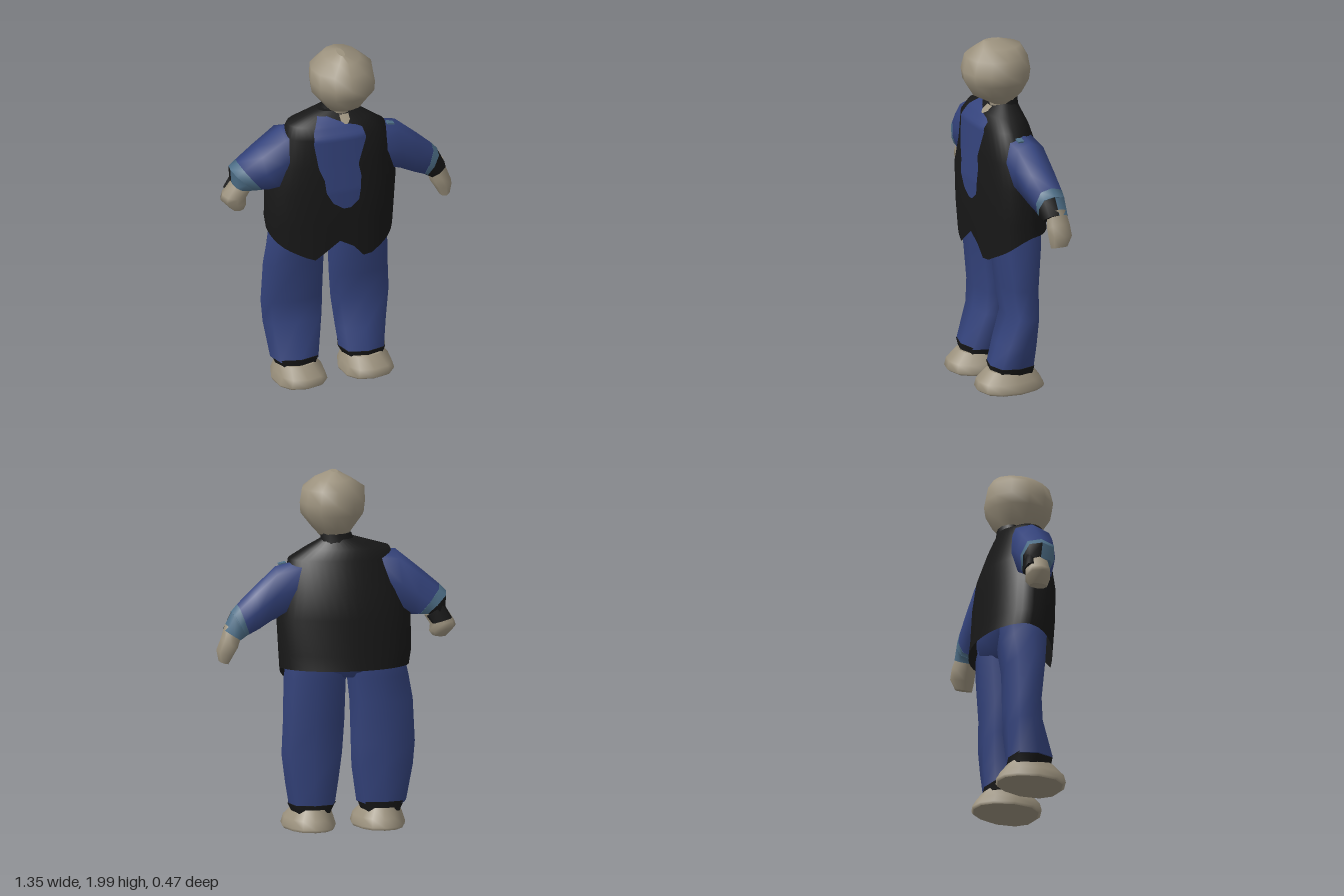
import * as THREE from 'three';

const mat = (name, color, side = THREE.FrontSide) => {
  const m = new THREE.MeshStandardMaterial({ color, side });
  m.name = name;
  return m;
};

// Rounded cross-section spanning (ax,ay)-(bx,by) across and z0-z1 in depth
function ring([ax, ay, bx, by, z0, z1], n, power, backPower = power) {
  const pts = [];
  for (let i = 0; i < n; i++) {
    const t = (i / n) * Math.PI * 2;
    const p = t > Math.PI ? backPower : power;
    const soft = (v) => Math.sign(v) * Math.pow(Math.abs(v), 2 / p);
    const s = soft(Math.cos(t)) / 2;
    pts.push(new THREE.Vector3(
      (ax + bx) / 2 + (bx - ax) * s,
      (ay + by) / 2 + (by - ay) * s,
      (z0 + z1) / 2 + ((z1 - z0) / 2) * soft(Math.sin(t))));
  }
  return pts;
}

const middle = (pts) => pts.reduce((s, p) => s.add(p), new THREE.Vector3()).divideScalar(pts.length);

// Smooth skin through a series of cross-sections, with crisp end caps
function loft(rings, capStart = true) {
  const n = rings[0].length, last = rings.length - 1;
  const pts = rings.flat();
  const idx = [];
  const c0 = middle(rings[0]), c1 = middle(rings[last]);
  const q = Math.floor(n / 4);
  const facing = rings[0][0].clone().sub(c0).cross(rings[0][q].clone().sub(c0)).dot(c1.clone().sub(c0));
  const tri = (a, b, c) => (facing > 0 ? idx.push(a, b, c) : idx.push(a, c, b));
  for (let r = 0; r < last; r++) {
    for (let i = 0; i < n; i++) {
      const j = (i + 1) % n, a = r * n, b = a + n;
      tri(a + i, a + j, b + j);
      tri(a + i, b + j, b + i);
    }
  }
  const cap = (rim, centre, flip) => {
    const s = pts.length, k = s + n;
    pts.push(...rim, centre);
    for (let i = 0; i < n; i++) {
      const a = s + i, b = s + ((i + 1) % n);
      flip ? tri(k, b, a) : tri(k, a, b);
    }
  };
  if (capStart) cap(rings[0], c0, true);
  cap(rings[last], c1, false);
  const g = new THREE.BufferGeometry().setFromPoints(pts);
  g.setIndex(idx);
  g.computeVertexNormals();
  return g;
}

// Sort faces into a front group (0) and a back group (1) at depth z
function splitAtDepth(g, z) {
  const halves = [[], []], idx = g.index.array, pos = g.attributes.position;
  for (let i = 0; i < idx.length; i += 3) {
    const f = [idx[i], idx[i + 1], idx[i + 2]];
    const mid = f.reduce((s, v) => s + pos.getZ(v) / 3, 0);
    halves[mid > z ? 0 : 1].push(...f);
  }
  g.setIndex(halves.flat());
  g.addGroup(0, halves[0].length, 0);
  g.addGroup(halves[0].length, halves[1].length, 1);
}

// Linear lookup in rows sorted by their first value
function lookup(rows, v) {
  let i = 0;
  while (i < rows.length - 2 && v > rows[i + 1][0]) i++;
  const a = rows[i], b = rows[i + 1];
  const t = THREE.MathUtils.clamp((v - a[0]) / (b[0] - a[0]), 0, 1);
  return a.map((x, k) => x + (b[k] - x) * t);
}

export function createModel() {
  const skin = mat('skin', 0x9c927e, THREE.DoubleSide);
  const blue = mat('blueCloth', 0x34437c, THREE.DoubleSide);
  const black = mat('blackCloth', 0x181818, THREE.DoubleSide);
  const pale = mat('paleCuff', 0x4e6f88);
  const model = new THREE.Group();
  model.name = 'standingFigure';

  const add = (name, geometry, material) => {
    const m = new THREE.Mesh(geometry, material);
    m.name = name;
    model.add(m);
    return m;
  };
  const limb = (name, material, rows, n = 8, power = 2.8) =>
    add(name, loft(rows.map((r) => ring(r, n, power))), material);
  // level rows: y, x0, x1, z0, z1
  const level = (rows) => rows.map(([y, x0, x1, z0, z1]) => [x0, y, x1, y, z0, z1]);

  // Head, neck and collar
  limb('head', skin, level([
    [1.63, -0.07, 0.06, -0.05, 0.07], [1.69, -0.115, 0.115, -0.105, 0.18], [1.77, -0.178, 0.178, -0.14, 0.23],
    [1.83, -0.185, 0.182, -0.15, 0.24], [1.91, -0.18, 0.17, -0.135, 0.215],
    [1.965, -0.1, 0.1, -0.1, 0.16], [1.997, -0.035, 0.005, 0.01, 0.11]]), 12, 2.05);
  limb('neck', skin, level([[1.57, -0.08, 0.06, -0.06, 0.07], [1.68, -0.07, 0.06, -0.05, 0.08]]), 12, 2);
  limb('collar', black, level([[1.6, -0.12, 0.08, -0.09, 0.05], [1.665, -0.095, 0.075, -0.08, 0.05]]), 12, 2);

  // Vest body: y, x0, x1, z0, z1 from bottom to top
  const body = [
    [1.0, -0.43, 0.31, -0.225, 0.18], [1.2, -0.43, 0.32, -0.21, 0.185], [1.35, -0.38, 0.285, -0.19, 0.175],
    [1.52, -0.345, 0.25, -0.13, 0.165], [1.58, -0.31, 0.16, -0.11, 0.12], [1.635, -0.13, 0.07, -0.08, 0.055]];
  const chestPower = 2.5, backPower = 1.9;
  const hemFront = [[-0.42, 0.88], [-0.2, 0.775], [-0.03, 0.9], [0.1, 0.75], [0.31, 0.86]];
  const hem = ring([-0.415, 0, 0.305, 0, -0.235, 0.17], 40, chestPower, backPower);
  for (const p of hem) {
    const f = THREE.MathUtils.smoothstep(p.z, -0.06, 0.12);
    p.y = THREE.MathUtils.lerp(0.92, lookup(hemFront, p.x)[1], f);
  }
  add('vest', loft([hem, ...level(body).map((r) => ring(r, 40, chestPower, backPower))], false), black);

  // Thin faces on the chest, bounded by rows of y, x0, x1
  const chestFace = (name, material, outline, gap) => {
    const g = new THREE.PlaneGeometry(1, 1, 10, 40);
    const pos = g.attributes.position;
    const y0 = outline[0][0], height = outline[outline.length - 1][0] - y0;
    for (let i = 0; i < pos.count; i++) {
      const y = y0 + (pos.getY(i) + 0.5) * height;
      const [, l, r] = lookup(outline, y);
      const x = l + (r - l) * (pos.getX(i) + 0.5);
      const [, x0, x1, z0, z1] = lookup(body, y);
      const k = Math.min(1, Math.abs((2 * x - x0 - x1) / (x1 - x0)));
      const bulge = Math.pow(1 - Math.pow(k, chestPower), 1 / chestPower);
      pos.setXYZ(i, x, y, (z0 + z1) / 2 + ((z1 - z0) / 2) * bulge + gap);
    }
    g.computeVertexNormals();
    add(name, g, material);
  };
  chestFace('shirtFront', blue, [
    [1.09, -0.04, 0.0], [1.13, -0.1, 0.05], [1.2, -0.14, 0.06], [1.28, -0.15, 0.065], [1.35, -0.18, 0.05],
    [1.5, -0.205, 0.1], [1.56, -0.195, 0.085], [1.585, -0.18, -0.01], [1.62, -0.15, -0.1]], 0.007);
  chestFace('throat', skin, [[1.58, -0.01, 0.005], [1.595, -0.03, 0.025], [1.62, -0.03, 0.025]], 0.009);

  // Left arm: sleeve, cuffs and hand
  limb('leftSleeve', blue, [
    [0.17, 1.52, 0.25, 1.22, -0.1, 0.1], [0.33, 1.485, 0.35, 1.18, -0.112, 0.085],
    [0.46, 1.37, 0.42, 1.14, -0.118, 0.06], [0.55, 1.285, 0.485, 1.11, -0.12, 0.038]]);
  limb('leftCuff', pale, [
    [0.55, 1.285, 0.485, 1.11, -0.122, 0.04], [0.585, 1.245, 0.505, 1.1, -0.122, 0.034]]);
  const leftEdge = limb('leftCuffEdge', [black, pale], [
    [0.58, 1.25, 0.502, 1.1, -0.1225, 0.0345], [0.63, 1.15, 0.53, 1.085, -0.12, 0.02]]);
  splitAtDepth(leftEdge.geometry, -0.05);
  limb('leftHand', skin, [
    [0.62, 1.18, 0.53, 1.1, -0.11, 0.0], [0.645, 1.1, 0.55, 1.04, -0.13, 0.01],
    [0.67, 1.035, 0.575, 1.0, -0.13, 0.01], [0.655, 0.97, 0.6, 0.955, -0.1, 0]], 8, 2.3);
  // Pale spot on the left shoulder
  const spot = add('shoulderSpot', new THREE.BoxGeometry(0.04, 0.009, 0.035), pale);
  spot.position.set(0.285, 1.492, 0.03);
  spot.rotation.z = -0.22;

  // Right arm
  limb('rightSleeve', blue, [
    [-0.22, 1.56, -0.34, 1.22, -0.1, 0.09], [-0.345, 1.56, -0.39, 1.2, -0.125, 0.125],
    [-0.48, 1.45, -0.43, 1.19, -0.13, 0.095], [-0.585, 1.36, -0.455, 1.19, -0.13, 0.064]]);
  limb('rightCuff', pale, [
    [-0.585, 1.36, -0.455, 1.19, -0.132, 0.066], [-0.625, 1.32, -0.495, 1.19, -0.132, 0.052]]);
  const rightEdge = limb('rightCuffEdge', [pale, black], [
    [-0.625, 1.32, -0.495, 1.19, -0.132, 0.052], [-0.615, 1.23, -0.54, 1.195, -0.125, 0.03]]);
  splitAtDepth(rightEdge.geometry, -0.06);
  limb('rightHand', skin, [
    [-0.6, 1.26, -0.5, 1.19, -0.11, 0.01], [-0.665, 1.16, -0.53, 1.14, -0.13, 0.012],
    [-0.675, 1.13, -0.525, 1.1, -0.13, 0.012], [-0.62, 1.072, -0.545, 1.075, -0.1, 0]], 8, 2.3);
  limb('rightWristBand', black, [
    [-0.6, 1.26, -0.505, 1.19, -0.125, -0.08], [-0.645, 1.18, -0.535, 1.15, -0.134, -0.08]]);

  // Trousers
  limb('hips', blue, level([
    [0.86, -0.12, -0.02, -0.1, 0.04], [0.93, -0.36, 0.25, -0.165, 0.11], [1.02, -0.38, 0.27, -0.18, 0.14]]), 16, 2.2);
  limb('rightTrouserLeg', blue, level([
    [0.97, -0.39, -0.06, -0.15, 0.12], [0.86, -0.415, -0.07, -0.145, 0.1], [0.72, -0.44, -0.085, -0.125, 0.08],
    [0.48, -0.45, -0.09, -0.117, 0.05], [0.35, -0.44, -0.095, -0.115, 0.06], [0.145, -0.41, -0.13, -0.11, 0.135]]));
  limb('leftTrouserLeg', blue, level([
    [0.97, -0.05, 0.27, -0.15, 0.12], [0.86, -0.065, 0.285, -0.145, 0.1], [0.6, -0.055, 0.29, -0.12, 0.07],
    [0.43, -0.04, 0.3, -0.115, 0.038], [0.27, -0.025, 0.275, -0.115, 0.095], [0.14, -0.01, 0.25, -0.11, 0.135]]));

  // Ankle bands and feet, the heels narrower than the toes
  for (const [side, x, top] of [['right', -0.265, 0.155], ['left', 0.125, 0.145]]) {
    const at = (list) => level(list.map(([y, a, b, c, d]) => [y, x + a, x + b, c, d]));
    limb(side + 'AnkleBand', black, at([
      [0.1, -0.115, 0.11, -0.108, 0.13], [top, -0.14, 0.132, -0.113, 0.138]]));
    const foot = limb(side + 'Foot', skin, at([
      [0.005, -0.14, 0.155, -0.17, 0.2], [0.02, -0.145, 0.165, -0.18, 0.22], [0.065, -0.13, 0.15, -0.155, 0.21],
      [0.12, -0.11, 0.105, -0.112, 0.145]]), 12, 2.5).geometry;
    const pos = foot.attributes.position;
    for (let i = 0; i < pos.count; i++) {
      const width = THREE.MathUtils.clamp(0.95 + pos.getZ(i) * 1.2, 0.75, 1);
      pos.setX(i, x + (pos.getX(i) - x) * width);
    }
    foot.computeVertexNormals();
  }
  return model;
}
